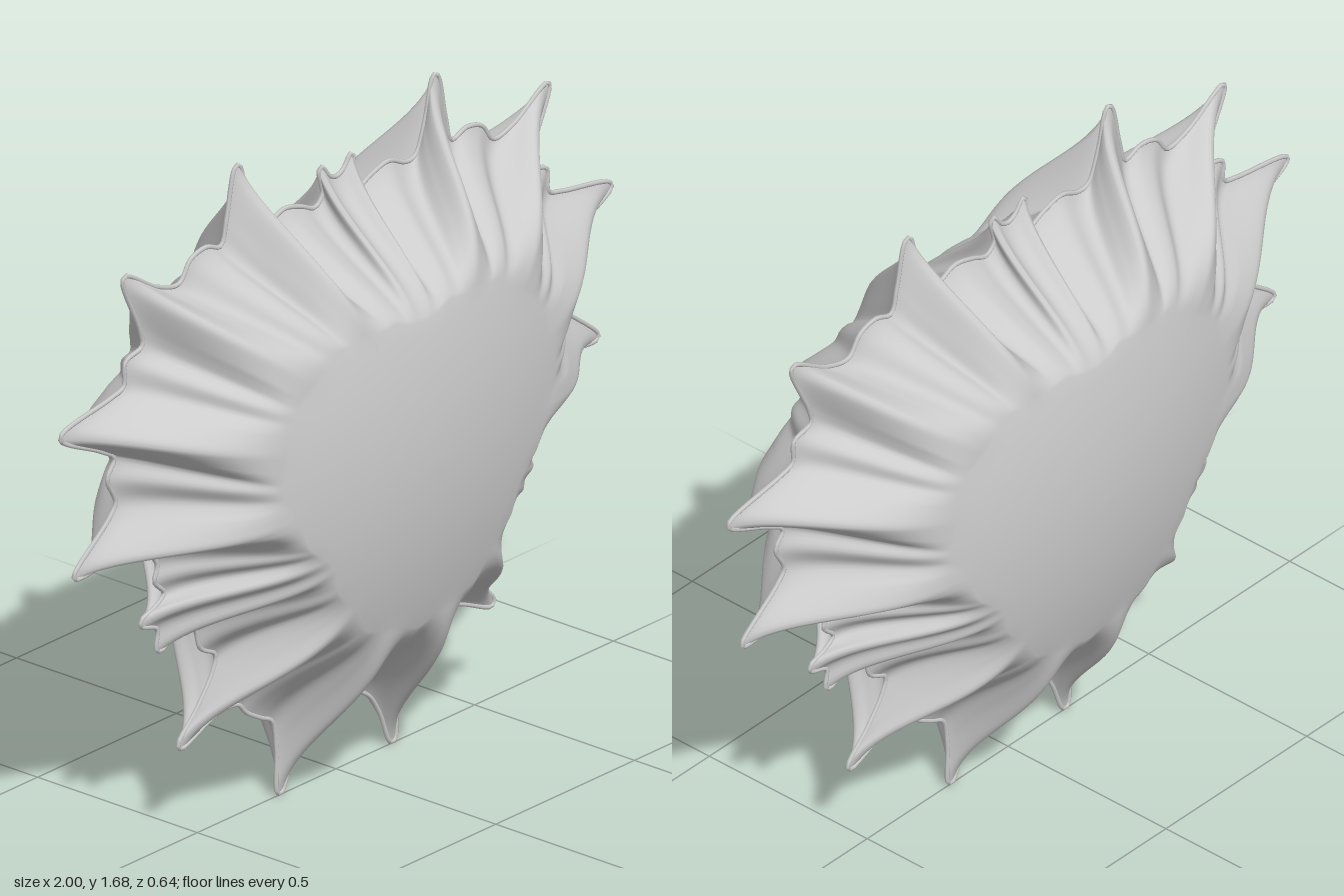
import * as THREE from 'three';

const CENTRE_Y = 0.88, HALF_DEPTH = 0.322, SEAM = 0.006;
const AROUND = 640, CORE_RINGS = 10, RINGS = 38;

// Right half of the outline, clockwise from the top notch to the bottom
const half = [
  [0, 1.53], [0.025, 1.54], [0.052, 1.572], [0.062, 1.565], [0.05, 1.5], [0.075, 1.475],
  [0.13, 1.495], [0.19, 1.508], [0.25, 1.485], [0.285, 1.49], [0.32, 1.57], [0.35, 1.675], [0.365, 1.672],
  [0.395, 1.55], [0.415, 1.487], [0.47, 1.502], [0.525, 1.488], [0.565, 1.44], [0.64, 1.455],
  [0.76, 1.522], [0.77, 1.512], [0.705, 1.36], [0.7, 1.322], [0.76, 1.3], [0.765, 1.24], [0.81, 1.225],
  [0.988, 1.19], [0.993, 1.175], [0.85, 1.1], [0.8, 1.065], [0.825, 1.02], [0.795, 0.95], [0.82, 0.915],
  [0.945, 0.812], [0.942, 0.8], [0.8, 0.805], [0.68, 0.78], [0.645, 0.74], [0.655, 0.7], [0.62, 0.66], [0.65, 0.635],
  [0.703, 0.615], [0.703, 0.6], [0.645, 0.575], [0.648, 0.522], [0.63, 0.515], [0.56, 0.555], [0.51, 0.53],
  [0.49, 0.475], [0.435, 0.44], [0.445, 0.4], [0.5, 0.325], [0.57, 0.25], [0.56, 0.238], [0.43, 0.285], [0.355, 0.285],
  [0.325, 0.255], [0.275, 0.225], [0.23, 0.2], [0.215, 0.12], [0.212, 0.01], [0.196, 0.007],
  [0.16, 0.09], [0.12, 0.15], [0.07, 0.178], [0, 0.168],
];

const { lerp, smoothstep } = THREE.MathUtils;

function outlineCurve() {
  const mirrored = half.slice(1, -1).reverse().map(([x, y]) => [-x, y]);
  const points = [...half, ...mirrored].map(([x, y]) => new THREE.Vector3(x, y - CENTRE_Y, 0));
  const curve = new THREE.CatmullRomCurve3(points, true, 'centripetal');
  curve.arcLengthDivisions = 2000;
  return curve;
}

// Average direction and radius of the outline around one sample
function averaged(outline, i, reach) {
  const sum = new THREE.Vector3();
  let radius = 0;
  for (let k = -reach; k <= reach; k++) {
    const p = outline[(i + k + AROUND) % AROUND];
    sum.add(p.clone().normalize());
    radius += p.length();
  }
  return { dir: sum.normalize(), radius: radius / (2 * reach + 1) };
}

const domeHeight = ({ x, y }) => HALF_DEPTH - 0.25 * x * x - 0.33 * y * y;

// Fall of the pleated margin, s = 0 at the smooth dome and 1 at the seam
function marginFall(s, R, radius) {
  // Spikes keep a raised shoulder, the scallops between them drop at once
  const sharp = smoothstep(R, 0.68, 0.9);
  const wave = 0.5 + 0.5 * Math.cos(Math.PI * Math.pow(s, lerp(1, 1.2, sharp)));
  const groove = 1 + 0.6 * Math.min(0, R - radius) * Math.sin(Math.PI * s) ** 2;
  return lerp(1 - s, wave, lerp(0.55, 0.75, sharp)) * groove;
}

// One puffed panel: a smooth round dome, then pleats running out to the seam
function panelGeometry(outline, side) {
  const positions = [], index = [];
  const rays = outline.map((p, i) => {
    const { dir, radius } = averaged(outline, i, 30);
    return { p, radius, R: p.length(), core: dir.multiplyScalar(0.55 * radius) };
  });
  for (let j = 0; j <= RINGS; j++) {
    const s = Math.max(0, (j - CORE_RINGS) / (RINGS - CORE_RINGS));
    for (const { p, radius, R, core } of rays) {
      const pos = core.clone().multiplyScalar(Math.min(1, j / CORE_RINGS));
      const z = domeHeight(pos) * marginFall(s, R, radius);
      pos.lerp(p, s);
      positions.push(pos.x, pos.y + CENTRE_Y, side * z);
    }
  }
  for (let j = 0; j < RINGS; j++) {
    for (let i = 0; i < AROUND; i++) {
      const n = (i + 1) % AROUND;
      const a = j * AROUND + i, b = j * AROUND + n, c = a + AROUND, d = b + AROUND;
      if (side > 0) index.push(a, b, c, b, d, c);
      else index.push(a, c, b, b, c, d);
    }
  }
  const geometry = new THREE.BufferGeometry();
  geometry.setAttribute('position', new THREE.Float32BufferAttribute(positions, 3));
  geometry.setIndex(index);
  geometry.computeVertexNormals();
  return geometry;
}

export function createModel() {
  const group = new THREE.Group();
  group.name = 'spikedBalloon';
  const material = new THREE.MeshStandardMaterial({ color: 0xcccccc, side: THREE.DoubleSide });
  const curve = outlineCurve();
  const outline = curve.getSpacedPoints(AROUND).slice(0, AROUND);

  const add = (name, geometry) => {
    const mesh = new THREE.Mesh(geometry, material);
    mesh.name = name;
    group.add(mesh);
    return mesh;
  };

  // Two inflated panels, front and back
  add('frontPanel', panelGeometry(outline, 1));
  add('backPanel', panelGeometry(outline, -1));

  // Welded seam around the edge
  add('seam', new THREE.TubeGeometry(curve, AROUND, SEAM, 6, true)).position.y = CENTRE_Y;

  return group;
}
